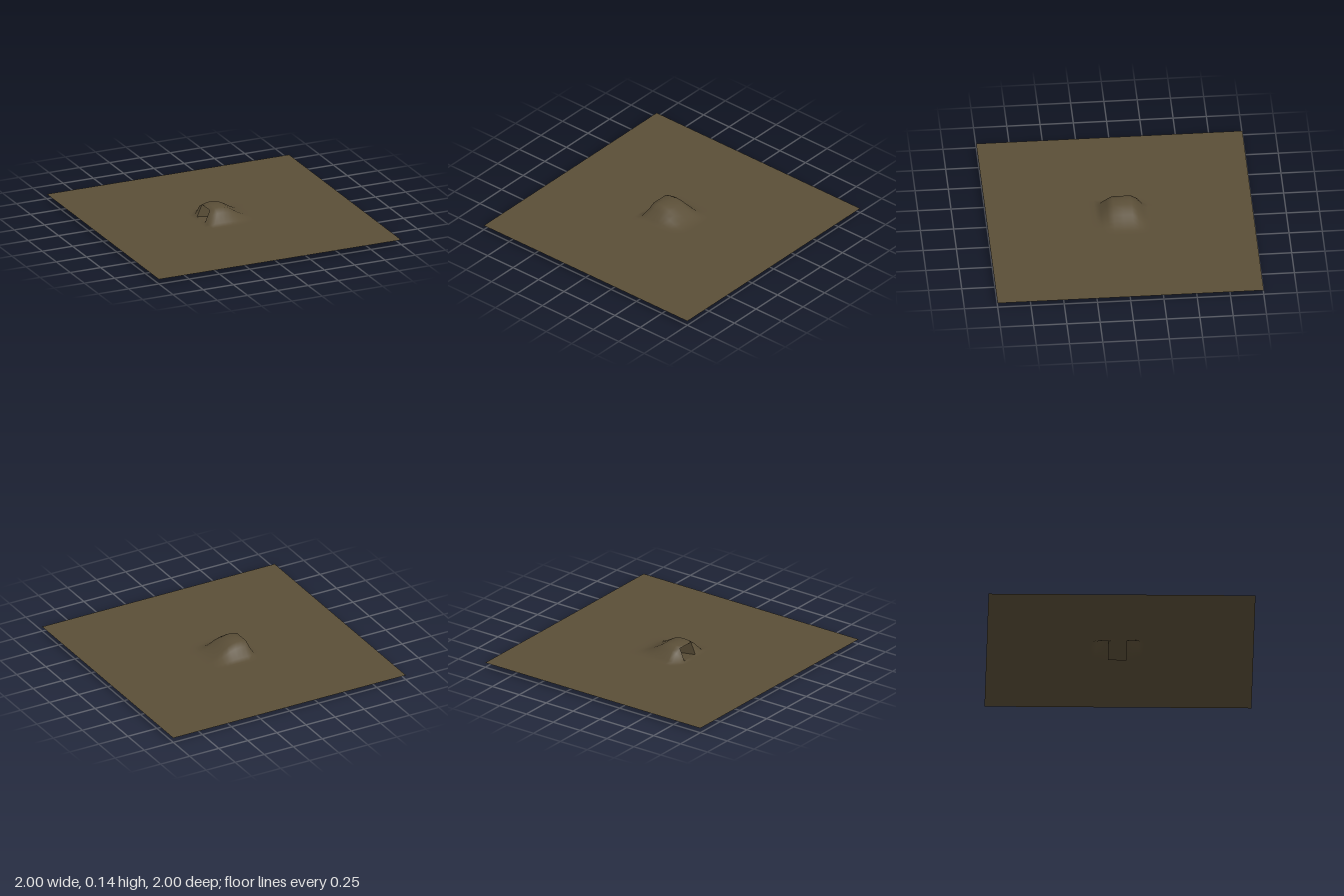
import * as THREE from 'three';

const GROUND = 0.037, RISE = 0.106;

// Grid lines as [position, share of the mound height]
const alongX = [[-1, 0], [-0.5, 0], [-0.26, 0], [-0.22, 0], [-0.18, 0], [-0.14, 0.87], [-0.1, 0.98], [-0.06, 1],
  [-0.02, 0.94], [0.02, 0.8], [0.06, 0.57], [0.1, 0.35], [0.14, 0.16], [0.18, 0.03], [0.22, 0], [0.26, 0], [0.5, 0], [1, 0]];
const alongZ = [[-1, 0], [-0.5, 0], [-0.26, 0], [-0.22, 0], [-0.18, 0.13], [-0.135, 0.72], [-0.09, 1], [-0.02, 1],
  [0.05, 1], [0.095, 0.72], [0.14, 0.13], [0.18, 0], [0.22, 0], [0.5, 0], [1, 0]];

function makeGeometry(points, index) {
  const g = new THREE.BufferGeometry();
  g.setAttribute('position', new THREE.Float32BufferAttribute(points, 3));
  g.setIndex(index);
  return g;
}

// Flat ground rising into a smooth mound, with the burrow mouth left open
function terrainGeometry() {
  const points = [], index = [], n = alongZ.length;
  for (const [x, hx] of alongX)
    for (const [z, hz] of alongZ) points.push(x, GROUND + RISE * hx * hz, z);
  for (let i = 0; i < alongX.length - 1; i++) {
    for (let j = 0; j < n - 1; j++) {
      const z = alongZ[j][0];
      if (alongX[i][0] === -0.18 && z >= -0.09 && z < 0.05) continue;
      const a = i * n + j, b = a + 1, c = a + n, d = c + 1;
      index.push(a, b, c, b, d, c);
    }
  }
  const g = makeGeometry(points, index);
  g.computeVertexNormals();
  return g;
}

// Four-sided passage sloping down from the mouth to a closed end
function tunnelGeometry() {
  const z0 = -0.09, z1 = 0.05;
  const ring = (xLow, yLow, xHigh, yHigh) => [xLow, yLow, z0, xLow, yLow, z1, xHigh, yHigh, z1, xHigh, yHigh, z0];
  const points = [...ring(-0.18, GROUND, -0.14, GROUND + RISE * 0.87), ...ring(0.085, 0, 0.085, 0.065)];
  const index = [4, 5, 6, 4, 6, 7];
  for (let k = 0; k < 4; k++) {
    const m = (k + 1) % 4;
    index.push(k, m, k + 4, m, m + 4, k + 4);
  }
  const g = makeGeometry(points, index).toNonIndexed();
  g.computeVertexNormals();
  return g;
}

export function createModel() {
  const model = new THREE.Group();
  model.name = 'burrow';
  const earth = new THREE.MeshStandardMaterial({ color: 0x5a4e37, side: THREE.DoubleSide });
  earth.name = 'earth brown';

  const ground = new THREE.Mesh(terrainGeometry(), earth);
  ground.name = 'groundAndMound';
  const tunnel = new THREE.Mesh(tunnelGeometry(), earth);
  tunnel.name = 'burrowTunnel';
  model.add(ground, tunnel);
  return model;
}
